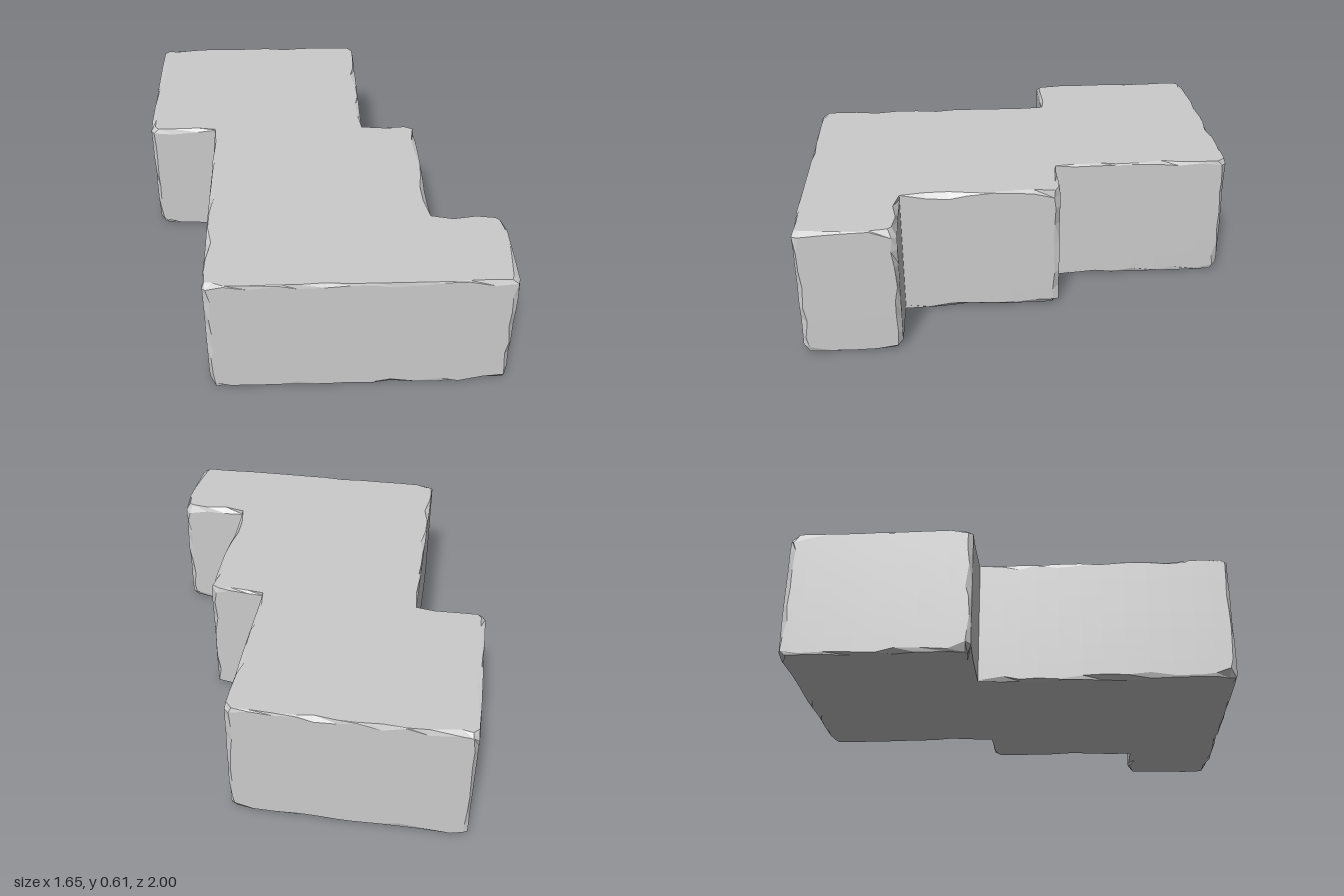
import * as THREE from 'three';

const HEIGHT = 0.605;

// Stepped footprint as [x, z] corners
const OUTLINE = [
  [-0.825, -1], [0.24, -1], [0.24, -0.17], [0.5, -0.17], [0.5, 0.56],
  [0.825, 0.56], [0.825, 1], [-0.5, 1], [-0.5, -0.17], [-0.825, -0.17],
].map(([x, z]) => new THREE.Vector2(x, z));

function seeded(seed) {
  return () => {
    seed = (seed * 16807) % 2147483647;
    return seed / 2147483647;
  };
}

// Points around the footprint: sharp inner corners, split outer corners, spaced edge points
function outlineStations(rand) {
  const stations = [];
  const n = OUTLINE.length;
  const dirs = OUTLINE.map((p, i) => OUTLINE[(i + 1) % n].clone().sub(p).normalize());
  const convex = OUTLINE.map((p, i) => dirs[(i + n - 1) % n].cross(dirs[i]) > 0);
  OUTLINE.forEach((p, i) => {
    const next = (i + 1) % n, dir = dirs[i];
    const inward = new THREE.Vector2(-dir.y, dir.x);
    const length = OUTLINE[next].distanceTo(p);
    const add = (pos, kind) => stations.push({ pos, dir, inward, kind });
    add(p, convex[i] ? 'start' : 'inner');
    const steps = Math.max(3, Math.round(length / 0.1));
    for (let k = 1; k < steps; k++) {
      const t = (k + (rand() - 0.5) * 0.5) / steps;
      add(p.clone().addScaledVector(dir, length * t), 'edge');
    }
    if (convex[next]) add(OUTLINE[next], 'end');
  });
  return stations;
}

function chippedBlock() {
  const rand = seeded(4711);
  const chip = () => 0.003 + 0.026 * rand() ** 2;
  const stations = outlineStations(rand);
  const mids = [0.09, 0.17, 0.25, 0.33, 0.42, 0.51];
  const levels = mids.length + 4;
  const rings = [];

  // Horizontal cross-sections: worn rims at the bottom and top, worn corners between
  for (let l = 0; l < levels; l++) {
    const cap = l === 0 || l === levels - 1;
    const rim = l === 1 || l === levels - 2;
    const low = l < levels / 2;
    rings.push(stations.map(({ pos, dir, inward, kind }) => {
      const p = pos.clone();
      const cut = (cap ? 0.022 : 0.008) + 0.022 * rand();
      if (kind === 'start') p.addScaledVector(dir, cut);
      if (kind === 'end') p.addScaledVector(dir, -cut);
      if (cap && kind !== 'inner') p.addScaledVector(inward, chip());
      let y = cap ? 0 : chip() + (kind === 'start' || kind === 'end' ? 0.015 : 0);
      if (!low) y = HEIGHT - y;
      if (!cap && !rim) y = mids[l - 2] + (rand() - 0.5) * 0.03;
      return new THREE.Vector3(p.x, y, p.y);
    }));
  }

  const n = stations.length;
  const index = [];
  // Side walls
  for (let l = 0; l < levels - 1; l++) {
    for (let j = 0; j < n; j++) {
      const k = (j + 1) % n;
      const a = l * n + j, b = l * n + k, c = a + n, d = b + n;
      index.push(a, c, d, a, d, b);
    }
  }
  // Flat underside and top
  for (const l of [0, levels - 1]) {
    const contour = rings[l].map((v) => new THREE.Vector2(v.x, v.z));
    for (const [a, b, c] of THREE.ShapeUtils.triangulateShape(contour, [])) {
      const o = l * n;
      if (l === 0) index.push(o + a, o + b, o + c);
      else index.push(o + a, o + c, o + b);
    }
  }

  const geometry = new THREE.BufferGeometry().setFromPoints(rings.flat());
  geometry.setIndex(index);
  const flat = geometry.toNonIndexed();
  flat.computeVertexNormals();
  return flat;
}

export function createModel() {
  const group = new THREE.Group();
  group.name = 'steppedStone';
  const material = new THREE.MeshStandardMaterial({ color: 0xcccccc, flatShading: true });
  const block = new THREE.Mesh(chippedBlock(), material);
  block.name = 'chippedStoneBlock';
  group.add(block);
  return group;
}
